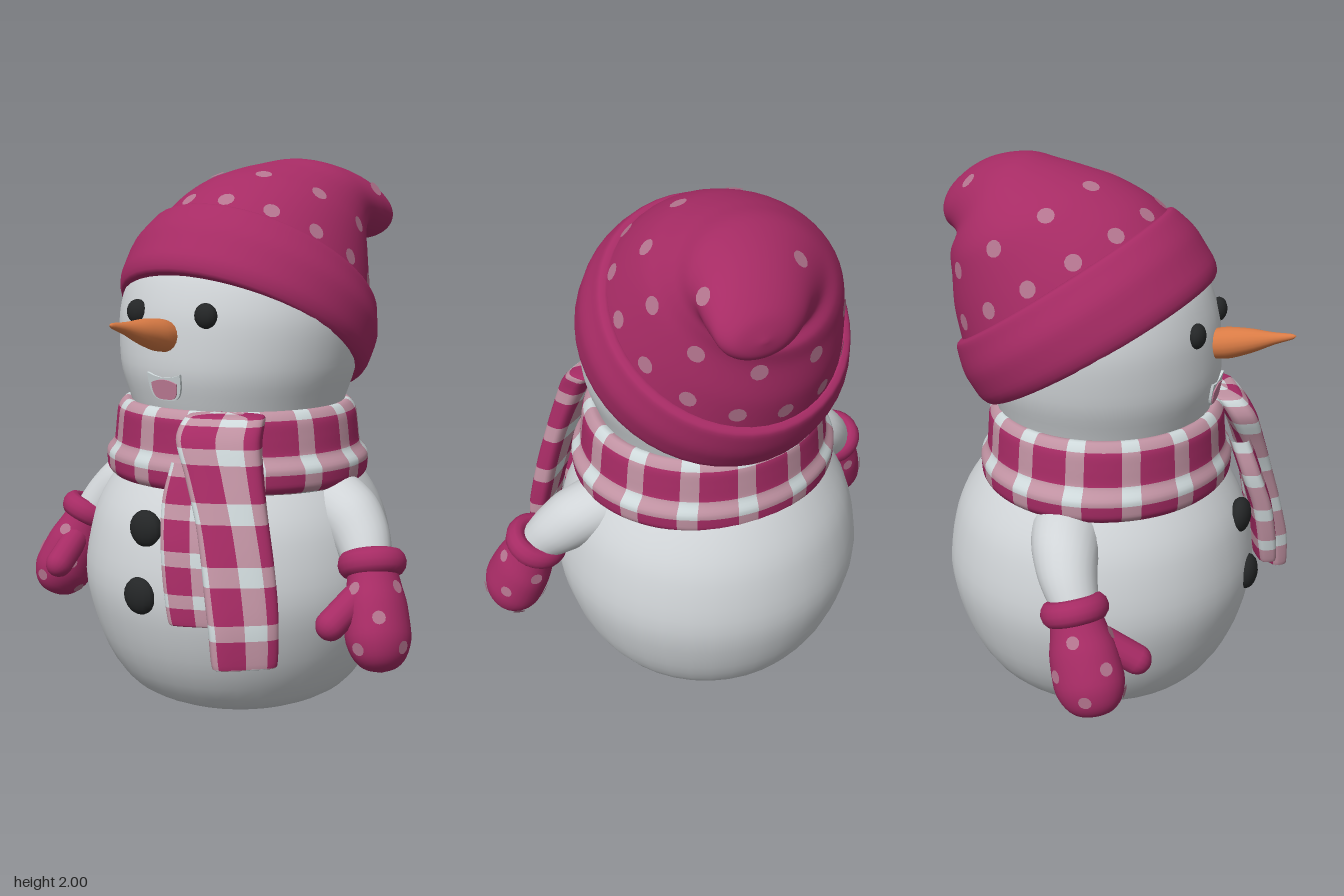
import * as THREE from 'three';
import { mergeVertices } from 'three/addons/utils/BufferGeometryUtils.js';

const mat = (name, color) => {
  const m = new THREE.MeshStandardMaterial({ color });
  m.name = name;
  return m;
};

// Smooth interpolation between cross-section rows, without overshoot
function sampleRows(rows, v) {
  const n = rows.length - 1, t = Math.min(Math.max(v, 0), 1) * n;
  const i = Math.min(Math.floor(t), n - 1), s = t - i;
  const get = (r, k) => rows[r][k] ?? 0;
  const slope = (r, k) => {
    if (r === 0) return get(1, k) - get(0, k);
    if (r === n) return get(n, k) - get(n - 1, k);
    const a = get(r, k) - get(r - 1, k), b = get(r + 1, k) - get(r, k);
    return a * b <= 0 ? 0 : (2 * a * b) / (a + b);
  };
  return Array.from({ length: 8 }, (_, k) => {
    const a = get(i, k), b = get(i + 1, k), s2 = s * s, s3 = s2 * s;
    return a * (2 * s3 - 3 * s2 + 1) + slope(i, k) * (s3 - 2 * s2 + s)
      + b * (3 * s2 - 2 * s3) + slope(i + 1, k) * (s3 - s2);
  });
}

// Row: x, y, z, half width, half depth, then Euler angles. power < 1 squares the section.
const loft = (rows, power = 1) => (u, v) => {
  const [x, y, z, rx, rz, ex, ey, ez] = sampleRows(rows, v);
  const a = u * Math.PI * 2, pw = (c) => Math.sign(c) * Math.abs(c) ** power;
  return new THREE.Vector3(rx * pw(Math.cos(a)), 0, rz * pw(Math.sin(a)))
    .applyEuler(new THREE.Euler(ex, ey, ez)).add(new THREE.Vector3(x, y, z));
};

// Grid over f(u, v), closed in u; colourOf picks a material index for each cell
function surface(f, nu, nv, colourOf = () => 0) {
  const pos = [], lists = [[], [], []];
  for (let j = 0; j <= nv; j++)
    for (let i = 0; i < nu; i++) pos.push(...f(i / nu, j / nv).toArray());
  for (let j = 0; j < nv; j++)
    for (let i = 0; i < nu; i++) {
      const k = (i + 1) % nu, a = j * nu + i, b = a + nu, c = j * nu + k, d = c + nu;
      lists[colourOf((i + 0.5) / nu, (j + 0.5) / nv)].push(a, b, c, c, b, d);
    }
  const geo = new THREE.BufferGeometry();
  geo.setAttribute('position', new THREE.Float32BufferAttribute(pos, 3));
  geo.setIndex(lists.flat());
  let start = 0;
  lists.forEach((l, m) => {
    if (l.length) geo.addGroup(start, l.length, m);
    start += l.length;
  });
  const out = mergeVertices(geo);
  out.computeVertexNormals();
  return out;
}

export function createModel() {
  const model = new THREE.Group();
  const snow = mat('snow', 0xd0d4d7), berry = mat('berry knit', 0xa62b64);
  const spot = mat('spot pink', 0xb4758f), rose = mat('scarf rose', 0xc092a2);
  const pale = mat('scarf white', 0xced8da), coal = mat('coal', 0x242627);
  const carrot = mat('carrot', 0xd97b45), tongueMat = mat('tongue', 0xc4809a);
  const plaid = [berry, rose, pale];

  const add = (name, geo, material, parent = model) => {
    const m = new THREE.Mesh(geo, material);
    m.name = name;
    parent.add(m);
    return m;
  };
  // Thin round spot lying on a surface
  const dot = (f, u, v, r, parent) => {
    const p = f(u, v), e = 0.01;
    const du = f(u + e, v).sub(f(u - e, v)), dv = f(u, v + e).sub(f(u, v - e));
    const n = dv.cross(du).normalize();
    const m = add('spot', new THREE.CircleGeometry(r, 12), spot, parent);
    m.position.copy(p).addScaledVector(n, 0.004);
    m.quaternion.setFromUnitVectors(new THREE.Vector3(0, 0, 1), n);
  };
  const round = (z, list) => list.map(([y, rx, rz = rx]) => [0, y, z, rx, rz]);

  // Body and head
  add('body', surface(loft(round(-0.03, [[0, 0], [0.005, 0.22], [0.02, 0.27], [0.085, 0.41], [0.28, 0.53],
    [0.5, 0.577], [0.7, 0.545], [0.85, 0.47], [0.95, 0.38], [1, 0.25]])), 40, 36), snow);
  add('head', surface(loft(round(-0.02, [[0.98, 0.28], [1.08, 0.37], [1.16, 0.4, 0.4], [1.28, 0.437, 0.424],
    [1.42, 0.45, 0.415], [1.54, 0.43, 0.385], [1.64, 0.36, 0.33], [1.7, 0.22, 0.2], [1.72, 0]])), 40, 32), snow);

  // Face and buttons
  for (const s of [-1, 1]) {
    const eye = add('eye', new THREE.SphereGeometry(0.044, 14, 10), coal);
    eye.position.set(s * 0.152, 1.465, 0.362);
    eye.scale.z = 0.7;
  }
  for (const [y, z] of [[0.735, 0.505], [0.505, 0.54]]) {
    const button = add('button', new THREE.SphereGeometry(0.066, 14, 10), coal);
    button.position.set(0, y, z);
    button.scale.z = 0.6;
  }
  const nose = add('nose', surface(loft(round(0, [[0, 0], [0, 0.05], [0.05, 0.056], [0.13, 0.045],
    [0.22, 0.022], [0.29, 0.008], [0.3, 0]])), 18, 24), carrot);
  nose.position.set(0, 1.387, 0.38);
  nose.rotation.x = 1.365;
  const smile = (w, top, bottom, sag) => {
    const sh = new THREE.Shape();
    sh.moveTo(-w, top);
    sh.quadraticCurveTo(0, top - sag, w, top);
    sh.bezierCurveTo(w, bottom, w * 0.6, bottom, 0, bottom);
    sh.bezierCurveTo(-w * 0.6, bottom, -w, bottom, -w, top);
    return new THREE.ExtrudeGeometry(sh, { depth: 0.009, bevelEnabled: false, curveSegments: 10 });
  };
  const mouth = add('mouth', smile(0.073, 0.05, -0.047, 0.03), pale);
  mouth.position.set(0, 1.215, 0.39);
  mouth.rotation.x = 0.17;
  add('tongue', smile(0.056, 0.016, -0.042, -0.025), tongueMat, mouth).position.z = 0.004;

  // Hat: tilted rolled brim and a crown that droops backwards
  const tilt = 0.595;
  const brimRows = [[0.06, 0.37, 0.37, 0.54], [-0.01, 0.42, 0.435, 0.54], [-0.015, 0.45, 0.465, 0.55],
    [0.035, 0.476, 0.49, 0.57], [0.12, 0.48, 0.49, tilt], [0.2, 0.455, 0.475, tilt], [0.245, 0.435, 0.455, tilt],
    [0.25, 0.41, 0.43, tilt], [0.21, 0.37, 0.39, tilt]]
    .map(([h, rx, rz, t]) => [0, 1.38 + h * Math.cos(tilt), -0.035 - h * Math.sin(tilt), rx, rz, -t]);
  const hat = new THREE.Group();
  hat.name = 'hat';
  model.add(hat);
  add('hatBrim', surface(loft(brimRows), 48, 32), berry, hat);
  const crown = loft([
    [0, 1.55, -0.145, 0.42, 0.45, -0.58], [0, 1.665, -0.215, 0.38, 0.405, -0.56],
    [0, 1.775, -0.305, 0.33, 0.315, -0.6], [0.015, 1.82, -0.385, 0.28, 0.25, -0.72],
    [0.05, 1.845, -0.45, 0.235, 0.19, -0.96], [0.105, 1.828, -0.545, 0.19, 0.14, -1.22],
    [0.14, 1.803, -0.615, 0.15, 0.1, -1.34], [0.155, 1.79, -0.655, 0.09, 0.055, -1.4],
    [0.16, 1.785, -0.67, 0, 0, -1.4]]);
  add('hatCrown', surface(crown, 48, 48), berry, hat);
  [[0.085, 15, 0.25], [0.23, 10, 0], [0.6, 3, 0.2]].forEach(([v, n, shift]) => {
    for (let i = 0; i < n; i++) dot(crown, (i + shift) / n, v, 0.03, hat);
  });

  // Scarf: two crossing sets of stripes give the plaid
  const scarf = new THREE.Group();
  scarf.name = 'scarf';
  model.add(scarf);
  const wrap = loft(round(-0.01, [[0.88, 0.38, 0.36], [0.855, 0.45, 0.42], [0.89, 0.492, 0.458],
    [0.94, 0.495, 0.46], [0.99, 0.46, 0.437], [1.05, 0.452, 0.432], [1.1, 0.444, 0.428],
    [1.14, 0.41, 0.395], [1.12, 0.36, 0.35]]));
  const stripes = (a, b) => 2 - (a ? 1 : 0) - (b ? 1 : 0);
  add('scarfWrap', surface(wrap, 84, 40, (u, v) => stripes((u * 14) % 1 < 0.66,
    (v > 0.175 && v < 0.35) || (v > 0.5 && v < 0.775))), plaid, scarf);
  const tail = (name, rows, count) => add(name, surface(loft(rows, 0.55), 40, count * 6, (u, v) => {
    const c = Math.cos(u * Math.PI * 2);
    return stripes(Math.abs(c + 0.35) < 0.4 || c > 0.45, (v * count) % 1 < 0.66);
  }), plaid, scarf);
  tail('scarfTailInner', [[0.26, 0.455, 0.545, 0, 0, 0, 0.5], [0.26, 0.455, 0.545, 0.095, 0.035, 0, 0.5],
    [0.245, 0.56, 0.54, 0.105, 0.042, 0, 0.45], [0.225, 0.7, 0.525, 0.11, 0.042, 0, 0.4],
    [0.2, 0.85, 0.485, 0.112, 0.042, 0, 0.35], [0.19, 0.98, 0.44, 0.1, 0.04, 0, 0.35]], 5);
  tail('scarfTailOuter', [[0.443, 0.34, 0.53, 0, 0, 0, 0.8], [0.443, 0.34, 0.53, 0.105, 0.035, 0, 0.8],
    [0.435, 0.45, 0.525, 0.115, 0.042, 0, 0.77], [0.405, 0.6, 0.505, 0.12, 0.045, 0, 0.7],
    [0.36, 0.77, 0.48, 0.12, 0.045, 0, 0.6], [0.3, 0.94, 0.45, 0.13, 0.05, 0, 0.5],
    [0.25, 1.07, 0.415, 0.145, 0.06, 0, 0.45], [0.24, 1.135, 0.365, 0.13, 0.055, 0, 0.45],
    [0.235, 1.145, 0.35, 0, 0, 0, 0.45]], 7);

  // Arms with cuffed mittens
  const mittenForm = loft(round(0, [[-0.368, 0], [-0.357, 0.045, 0.055], [-0.32, 0.085, 0.1],
    [-0.245, 0.108, 0.125], [-0.15, 0.104, 0.12], [-0.07, 0.09, 0.1], [0, 0.08, 0.085]]));
  for (const s of [-1, 1]) {
    const side = s > 0 ? 'left' : 'right';
    const arm = [[0.64, 0.62, 0.09, 0.08, 0.08, -0.3, 0, 0.35], [0.58, 0.7, 0.04, 0.1, 0.102, -0.3, 0, 0.6],
      [0.495, 0.77, 0, 0.112, 0.12, -0.1, 0, 0.85], [0.4, 0.8, -0.02, 0.115, 0.125, 0, 0, 1.1],
      [0.3, 0.8, -0.02, 0.11, 0.12, 0, 0, 1.3]].map((r) => r.map((n, k) => (k === 0 || k === 7 ? n * s : n)));
    add(side + 'Arm', surface(loft(arm), 24, 20), snow);

    const mitten = new THREE.Group();
    mitten.name = side + 'Mitten';
    mitten.position.set(s * 0.655, 0.63, 0.09);
    mitten.rotation.set(-0.33, 0, s * 0.31);
    model.add(mitten);
    add('mittenHand', surface(mittenForm, 28, 24), berry, mitten);
    const cuff = add('cuff', new THREE.TorusGeometry(0.082, 0.036, 12, 28), berry, mitten);
    cuff.rotation.x = Math.PI / 2;
    cuff.scale.z = 1.25;
    const base = new THREE.Vector3(-0.04 * s, -0.12, 0.06), tip = new THREE.Vector3(-0.095 * s, -0.21, 0.145);
    const thumb = add('thumb', new THREE.CapsuleGeometry(0.052, base.distanceTo(tip), 6, 14), berry, mitten);
    thumb.position.copy(base).lerp(tip, 0.5);
    thumb.quaternion.setFromUnitVectors(new THREE.Vector3(0, 1, 0), tip.clone().sub(base).normalize());
    for (const [v, n, shift] of [[0.4, 4, 0.1], [0.58, 4, 0.6], [0.78, 4, 0.1]])
      for (let i = 0; i < n; i++) {
        const u = (i + shift) / n;
        dot(mittenForm, s > 0 ? u : 0.5 - u, v, 0.023, mitten);
      }
  }
  return model;
}
